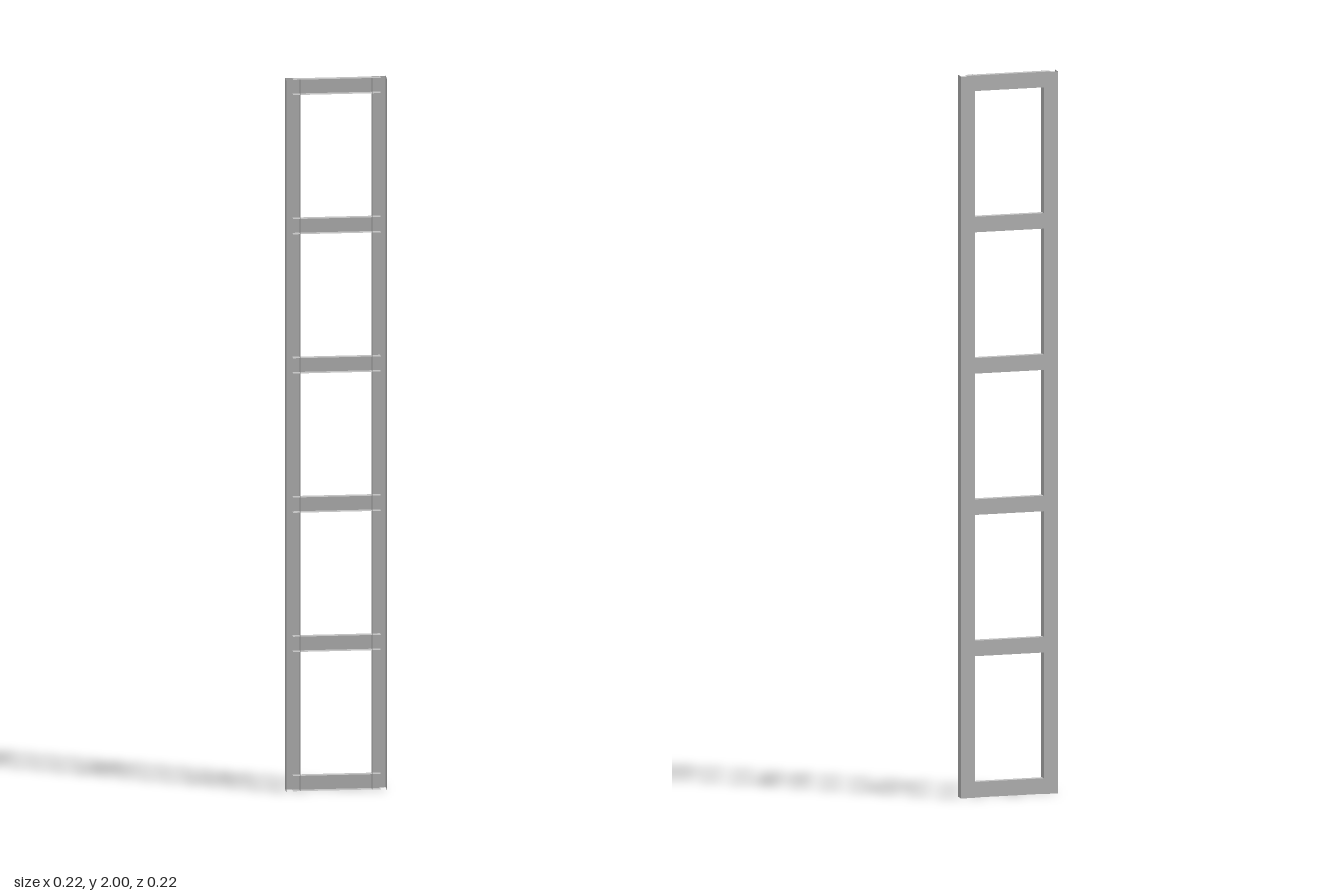
import * as THREE from 'three';
import { mergeGeometries } from 'three/addons/utils/BufferGeometryUtils.js';

const HEIGHT = 2;

// Sheet-metal U channel running along y, web at z = 0, open toward +z
function channel(width, depth, length) {
  const web = new THREE.PlaneGeometry(width, length).rotateY(Math.PI);
  const flanges = [-1, 1].map((s) =>
    new THREE.PlaneGeometry(depth, length)
      .rotateY((s * Math.PI) / 2)
      .translate((s * width) / 2, 0, depth / 2));
  return mergeGeometries([web, ...flanges]);
}

export function createModel() {
  const steel = new THREE.MeshStandardMaterial({ color: 0xc0c0c0, side: THREE.DoubleSide });
  steel.name = 'grey steel';

  const ladder = new THREE.Group();
  ladder.name = 'ladder';

  // Two upright rails, open toward the front
  const railWidth = 0.039;
  const railDepth = 0.03;
  const railGeometry = channel(railWidth, railDepth, HEIGHT);
  for (const s of [-1, 1]) {
    const rail = new THREE.Mesh(railGeometry, steel);
    rail.name = s < 0 ? 'rightRail' : 'leftRail';
    rail.position.set(s * (0.1375 - railWidth / 2), HEIGHT / 2, -railDepth / 2);
    ladder.add(rail);
  }

  // Six evenly spaced rungs whose ends sit inside the rails
  const rungHeight = 0.043;
  const rungGeometry = channel(rungHeight, 0.0175, 0.24).rotateZ(Math.PI / 2);
  const count = 6;
  for (let i = 0; i < count; i++) {
    const rung = new THREE.Mesh(rungGeometry, steel);
    rung.name = `rung${i + 1}`;
    const y = rungHeight / 2 + (i * (HEIGHT - rungHeight)) / (count - 1);
    rung.position.set(0.002, y, -0.011);
    ladder.add(rung);
  }

  // The ladder stands diagonally
  ladder.rotation.y = Math.PI / 4;

  const model = new THREE.Group();
  model.name = 'rack ladder';
  model.add(ladder);
  return model;
}
